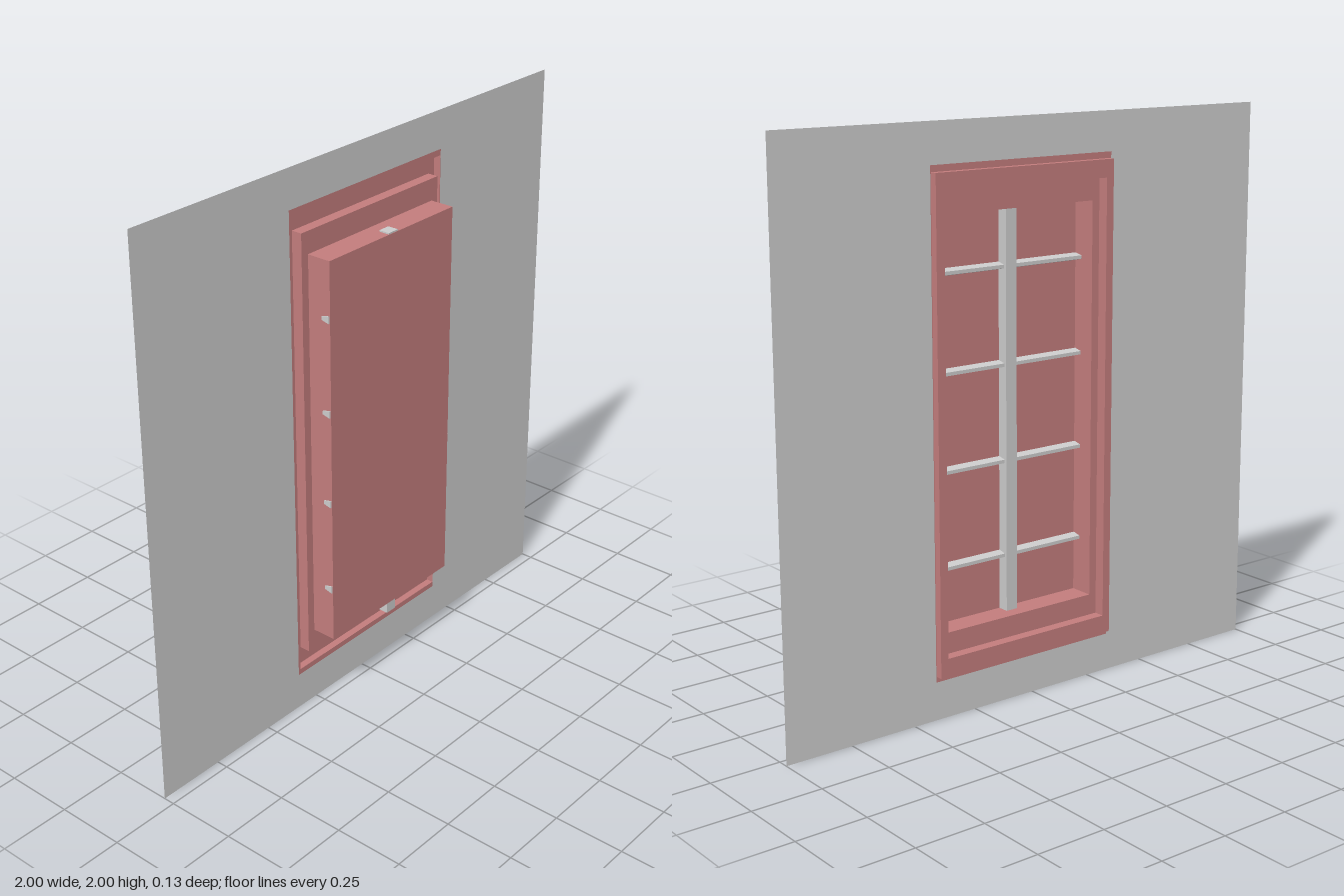
import * as THREE from 'three';

const grey = new THREE.MeshStandardMaterial({ color: 0xcccccc, side: THREE.DoubleSide });
const red = new THREE.MeshStandardMaterial({ color: 0xc37d7d, side: THREE.DoubleSide });

// Nested rectangles of the stepped window shell: x0, x1, y0, y1
const RIM = [-0.34, 0.412, 0.135, 1.862];
const TRIM = [-0.33, 0.41, 0.155, 1.84];
const STEP = [-0.3, 0.38, 0.22, 1.778];
const PANE = [-0.27, 0.35, 0.295, 1.7];
const WALL_Z = -0.04, BACK_Z = -0.066, STEP_Z = -0.027, PANE_Z = 0.062;

function add(parent, name, geometry, material) {
  const mesh = new THREE.Mesh(geometry, material);
  mesh.name = name;
  parent.add(mesh);
  return mesh;
}

function trace(path, [x0, x1, y0, y1]) {
  path.moveTo(x0, y0);
  path.lineTo(x1, y0);
  path.lineTo(x1, y1);
  path.lineTo(x0, y1);
  path.closePath();
  return path;
}

// Flat sheet at depth z, with an optional rectangular opening
function sheet(rect, z, hole) {
  const shape = trace(new THREE.Shape(), rect);
  if (hole) shape.holes.push(trace(new THREE.Path(), hole));
  return new THREE.ShapeGeometry(shape).translate(0, 0, z);
}

// Four thin sides running from depth za (back) to zb (front)
function sides([x0, x1, y0, y1], za, zb) {
  const ring = [[x0, y0], [x1, y0], [x1, y1], [x0, y1]];
  const pos = [];
  ring.forEach(([ax, ay], i) => {
    const [bx, by] = ring[(i + 1) % 4];
    pos.push(ax, ay, za, bx, by, za, bx, by, zb, ax, ay, za, bx, by, zb, ax, ay, zb);
  });
  const g = new THREE.BufferGeometry();
  g.setAttribute('position', new THREE.Float32BufferAttribute(pos, 3));
  g.computeVertexNormals();
  return g;
}

export function createModel() {
  const model = new THREE.Group();
  model.name = 'windowInWall';

  // Wall sheet with its opening
  add(model, 'wall', sheet([-1, 1, 0, 2], WALL_Z, RIM), grey);

  // Frame: rim flush with the wall, trim standing out at the back, then a step
  const frame = new THREE.Group();
  frame.name = 'frame';
  model.add(frame);
  add(frame, 'rim', sheet(RIM, WALL_Z, TRIM), red);
  add(frame, 'trimOuterSides', sides(TRIM, BACK_Z, WALL_Z), red);
  add(frame, 'trimFace', sheet(TRIM, BACK_Z, STEP), red);
  add(frame, 'stepSides', sides(STEP, BACK_Z, STEP_Z), red);
  add(frame, 'stepFace', sheet(STEP, STEP_Z, PANE), red);
  add(frame, 'recessSides', sides(PANE, STEP_Z, PANE_Z), red);
  add(frame, 'pane', sheet(PANE, PANE_Z), red);

  // Upright centre bar, running a little past the pane at the foot
  const mullion = add(model, 'mullion', new THREE.BoxGeometry(0.045, 1.45, 0.04), grey);
  mullion.position.set(0.043, 0.98, 0.0405);

  // Crossbars, tapered towards the back
  const section = new THREE.Shape();
  section.moveTo(-0.06, -0.013);
  section.lineTo(-0.06, 0.013);
  section.lineTo(-0.03, 0.006);
  section.lineTo(-0.03, -0.006);
  section.closePath();
  const barGeometry = new THREE.ExtrudeGeometry(section, { depth: 0.63, bevelEnabled: false })
    .rotateY(Math.PI / 2);
  for (let i = 0; i < 4; i++) {
    const bar = add(model, 'crossbar', barGeometry, grey);
    bar.position.set(-0.275, 0.495 + i * 0.335, 0);
  }
  return model;
}
